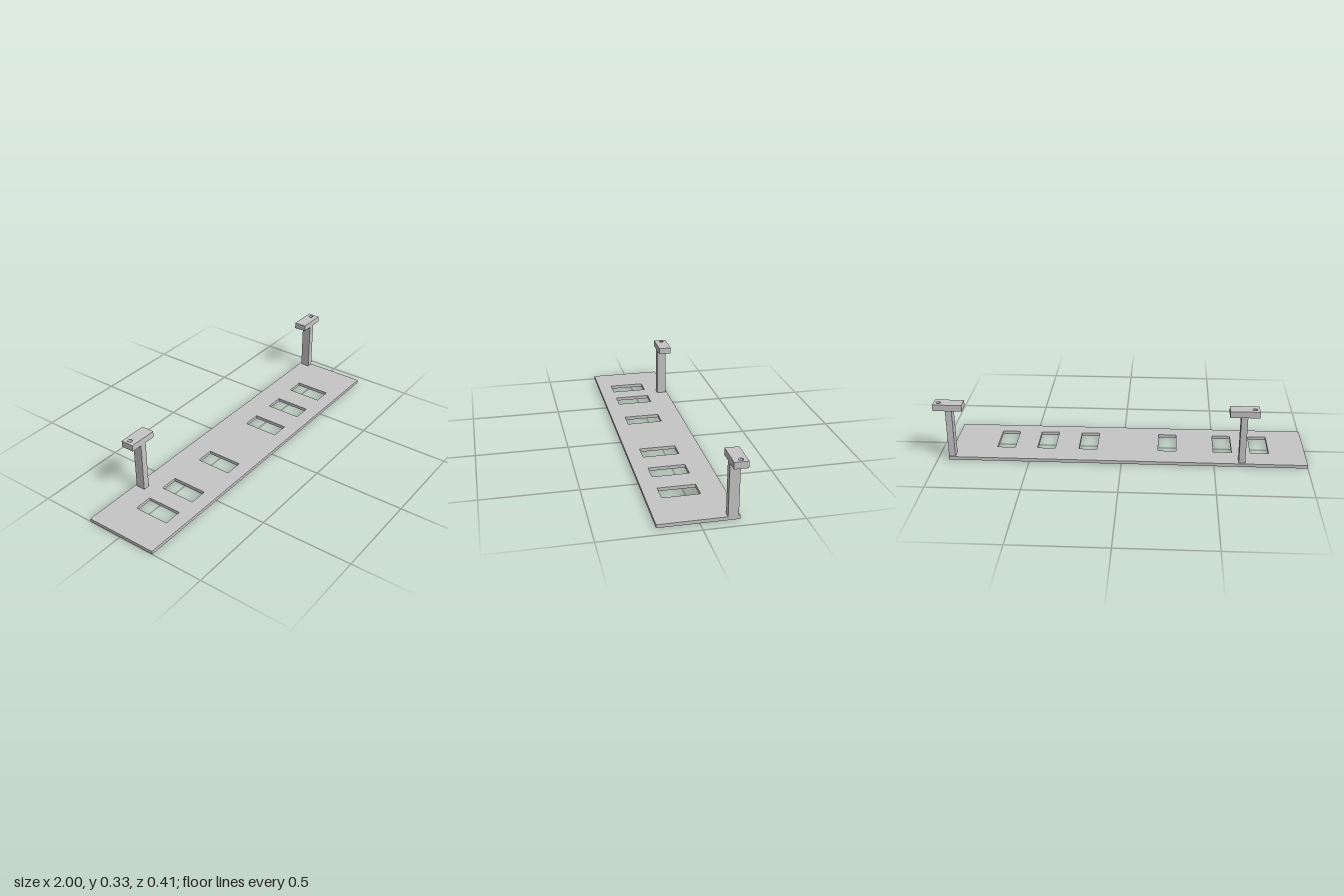
import * as THREE from 'three';

const grey = new THREE.MeshStandardMaterial({ color: 0xc5c5c5 });
grey.name = 'lightGrey';

// Closed rectangular outline in plan (x, z), mapped to shape space (x, -z)
function rect(path, x0, x1, z0, z1) {
  path.moveTo(x0, -z1);
  path.lineTo(x1, -z1);
  path.lineTo(x1, -z0);
  path.lineTo(x0, -z0);
  path.closePath();
  return path;
}

// Horizontal slab extruded upward from y0 to y1
function slab(name, shape, y0, y1) {
  const geometry = new THREE.ExtrudeGeometry(shape, { depth: y1 - y0, bevelEnabled: false, curveSegments: 12 });
  geometry.rotateX(-Math.PI / 2);
  geometry.translate(0, y0, 0);
  const mesh = new THREE.Mesh(geometry, grey);
  mesh.name = name;
  return mesh;
}

// Post with a drilled mounting block on top
function bracket(name, x) {
  const group = new THREE.Group();
  group.name = name;
  const post = rect(new THREE.Shape(), x - 0.0175, x + 0.0175, -0.188, -0.136);
  group.add(slab('post', post, 0.018, 0.295));

  const block = rect(new THREE.Shape(), x - 0.078, x + 0.078, -0.207, -0.136);
  const hole = new THREE.Path();
  hole.absarc(x + (x > 0 ? 0.052 : -0.052), 0.175, 0.012, 0, Math.PI * 2, true);
  block.holes.push(hole);
  group.add(slab('mountingBlock', block, 0.295, 0.33));
  return group;
}

export function createModel() {
  const model = new THREE.Group();
  model.name = 'mountingPanel';

  // Base plate with six rectangular cutouts
  const plate = rect(new THREE.Shape(), -1, 0.939, -0.197, 0.207);
  for (const x of [-0.752, -0.55, -0.247, 0.191, 0.422, 0.646]) {
    plate.holes.push(rect(new THREE.Path(), x - 0.05, x + 0.05, -0.068, 0.128));
  }
  model.add(slab('basePlate', plate, 0, 0.018));

  // Two brackets along the back edge
  model.add(bracket('rightBracket', -0.649));
  model.add(bracket('leftBracket', 0.922));
  return model;
}
